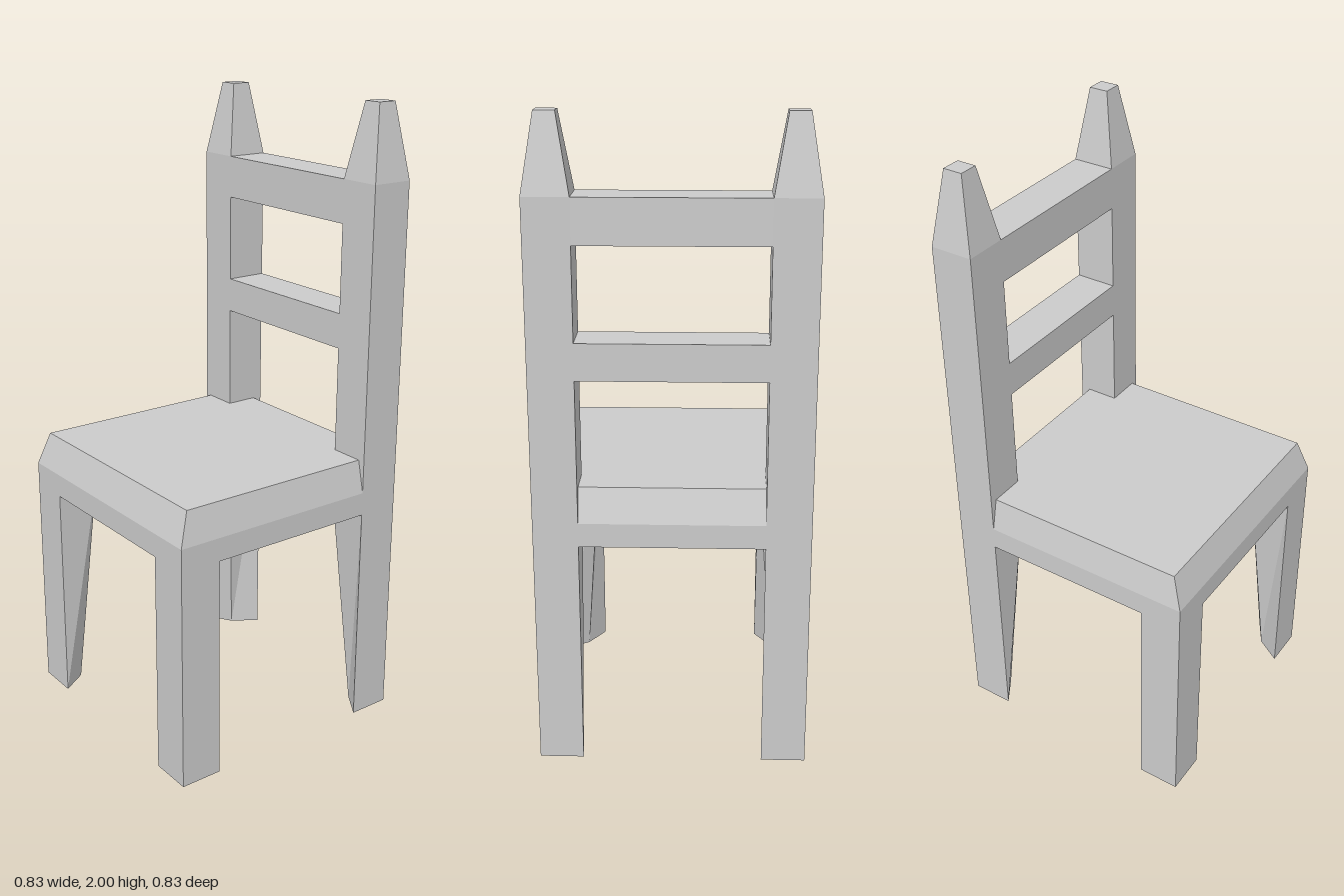
import * as THREE from 'three';

const material = new THREE.MeshStandardMaterial({ color: 0xcccccc, flatShading: true });
const OUT = 0.417, IN = 0.28; // outer and inner faces of the legs and posts

// Four corners [x, z], counter-clockwise seen from above
const rect = (x0, x1, z0, z1) => [[x1, z1], [x1, z0], [x0, z0], [x0, z1]];

// Mirror corners across x and/or z, keeping the winding
function mirror(corners, sx, sz) {
  const out = corners.map(([x, z]) => [x * sx, z * sz]);
  return sx * sz < 0 ? out.reverse() : out;
}

// Closed solid through four-cornered sections, each { y, c }, from bottom to top
function loft(name, sections) {
  const pos = [];
  const tri = (...pts) => pts.forEach((p) => pos.push(...p));
  const rings = sections.map(({ y, c }) => c.map(([x, z]) => [x, y, z]));
  for (let r = 0; r < rings.length - 1; r++) {
    const lo = rings[r], hi = rings[r + 1];
    for (let i = 0; i < 4; i++) {
      const j = (i + 1) % 4;
      tri(lo[i], lo[j], hi[j]);
      tri(lo[i], hi[j], hi[i]);
    }
  }
  const b = rings[0], t = rings[rings.length - 1];
  tri(b[0], b[2], b[1]);
  tri(b[0], b[3], b[2]);
  tri(t[0], t[1], t[2]);
  tri(t[0], t[2], t[3]);
  const geometry = new THREE.BufferGeometry();
  geometry.setAttribute('position', new THREE.Float32BufferAttribute(pos, 3));
  geometry.computeVertexNormals();
  const mesh = new THREE.Mesh(geometry, material);
  mesh.name = name;
  return mesh;
}

export function createModel() {
  const chair = new THREE.Group();
  chair.name = 'chair';

  // Seat: straight apron with a sloped border up to the flat top
  const apron = rect(-OUT, OUT, -OUT, OUT);
  chair.add(loft('seat', [
    { y: 0.725, c: apron },
    { y: 0.8, c: apron },
    { y: 0.905, c: rect(-0.393, 0.393, -0.385, 0.38) },
  ]));

  // Legs: only the inner corner tapers towards the floor
  const legTop = rect(IN, OUT, IN, OUT);
  const legFoot = legTop.map(([x, z]) => (x === IN && z === IN ? [0.333, 0.333] : [x, z]));
  for (const sx of [-1, 1]) {
    for (const sz of [-1, 1]) {
      const name = (sz > 0 ? 'front' : 'back') + (sx > 0 ? 'LeftLeg' : 'RightLeg');
      chair.add(loft(name, [
        { y: 0, c: mirror(legFoot, sx, sz) },
        { y: 0.725, c: mirror(legTop, sx, sz) },
      ]));
    }
    // Back post with a tapered, flat-tipped finial
    const post = mirror(legTop, sx, -1);
    chair.add(loft(sx > 0 ? 'leftBackPost' : 'rightBackPost', [
      { y: 0.725, c: post },
      { y: 1.77, c: post },
      { y: 2, c: mirror(rect(0.318, 0.379, 0.319, 0.381), sx, -1) },
    ]));
  }

  // Cross rails of the backrest, flush with the posts
  for (const [name, y0, y1] of [['middleRail', 1.243, 1.355], ['topRail', 1.635, 1.77]]) {
    const c = rect(-IN, IN, -OUT, -IN);
    chair.add(loft(name, [{ y: y0, c }, { y: y1, c }]));
  }
  return chair;
}
